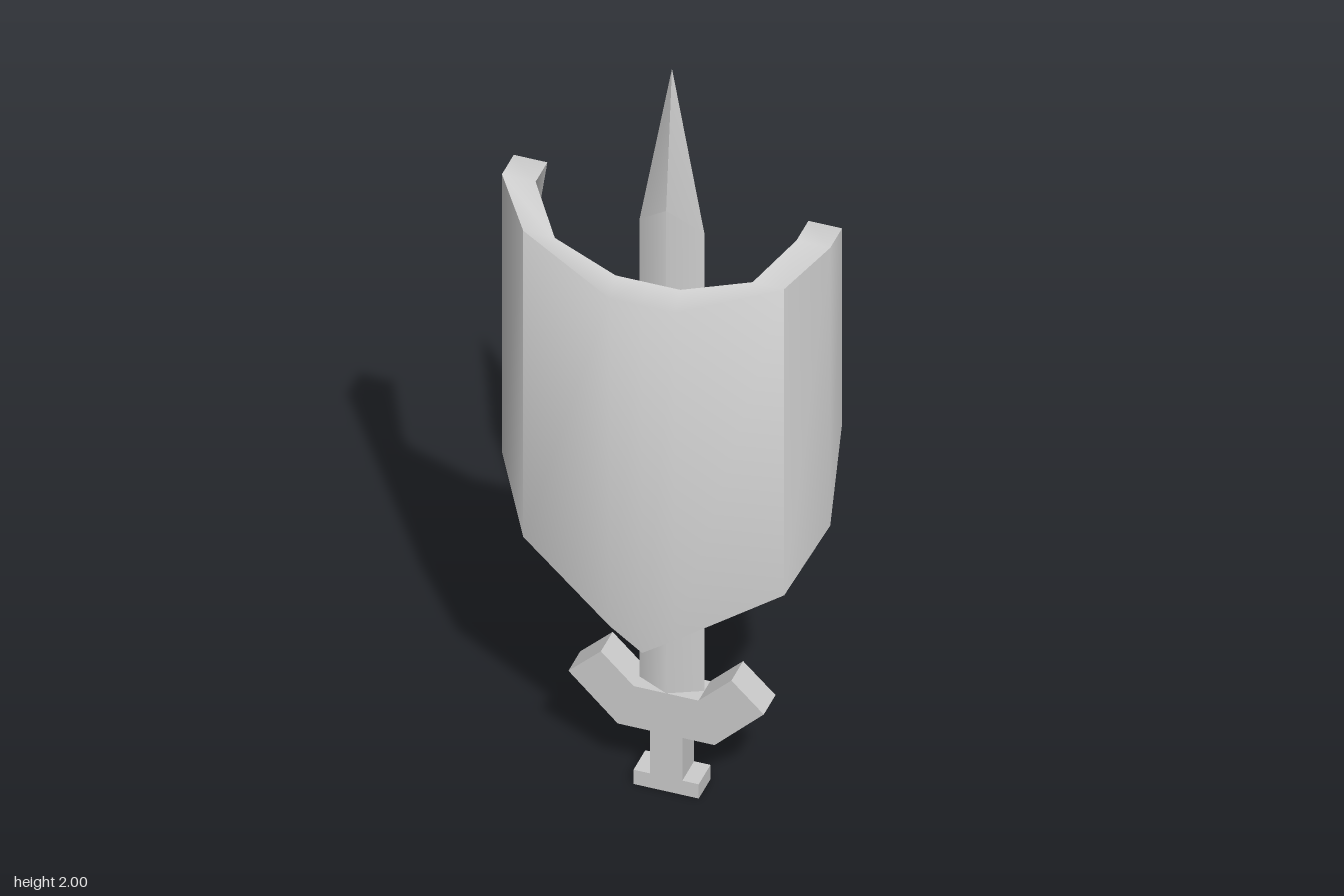
import * as THREE from 'three';
import { toCreasedNormals } from 'three/addons/utils/BufferGeometryUtils.js';

const CREASE = 1.0;
const BACK = -0.116, FRONT = -0.04, MID = -0.078; // depth range of the sword

const material = new THREE.MeshStandardMaterial({ color: 0xcccccc, side: THREE.DoubleSide });

function addMesh(parent, name, geometry) {
  const mesh = new THREE.Mesh(geometry, material);
  mesh.name = name;
  parent.add(mesh);
}

// Joins equal-length closed loops of points into a skin, optionally capped at each end.
function loft(loops, capStart, capEnd) {
  const n = loops[0].length, index = [];
  for (let i = 0; i < loops.length - 1; i++) {
    for (let j = 0; j < n; j++) {
      const k = (j + 1) % n;
      const a = i * n + j, b = (i + 1) * n + j, c = (i + 1) * n + k, d = i * n + k;
      index.push(a, b, c, a, c, d);
    }
  }
  const last = (loops.length - 1) * n;
  for (let j = 1; j < n - 1; j++) {
    if (capStart) index.push(0, j, j + 1);
    if (capEnd) index.push(last, last + j + 1, last + j);
  }
  const g = new THREE.BufferGeometry();
  g.setAttribute('position', new THREE.Float32BufferAttribute(loops.flat(2), 3));
  g.setIndex(index);
  return toCreasedNormals(g, CREASE);
}

// Curved plate: each column is a loop of outer bottom, outer top, inner top, inner shoulder.
function shieldGeometry() {
  const top = z => 1.63 - Math.max(0, z + 0.04);
  // outer x, outer z, bottom y, inner x, inner z, shoulder x, shoulder y
  const half = [
    [0.39, BACK, 1.08, 0.31, BACK, 0.35, 1.35],
    [0.39, -0.04, 0.85, 0.31, -0.04, 0.35, 1.24],
    [0.31, 0.04, 0.69, 0.235, 0.04, 0.235, 1.32],
    [0.077, 0.115, 0.555, 0.077, 0.077, 0.077, 1.01],
    [0, 0.115, 0.5, 0, 0.077, 0, 1.01],
  ];
  const column = (s, [ox, oz, bottom, ix, iz, mx, my]) => [
    [s * ox, bottom, oz], [s * ox, top(oz), oz], [s * ix, top(iz), iz], [s * mx, my, iz],
  ];
  const columns = [
    ...half.map(c => column(-1, c)),
    ...half.slice(0, -1).reverse().map(c => column(1, c)),
  ];
  return loft(columns, true, true);
}

// Diamond-section blade; the flat ridges run a little higher than the cutting edges.
function bladeGeometry() {
  const ring = (w, d, edgeY, ridgeY) => [
    [w, edgeY, MID], [0, ridgeY, MID + d], [-w, edgeY, MID], [0, ridgeY, MID - d],
  ];
  const rings = [
    ring(0.077, 0.038, 0.27, 0.27),
    ring(0.077, 0.038, 1.56, 1.63),
    ring(0.0005, 0.0005, 2, 2),
  ];
  // loops run clockwise seen from above, so reverse them to face outward
  return loft(rings.map(r => r.reverse()), false, false);
}

// Cross guard with upturned arms
function guardGeometry() {
  const right = [[0.115, 0.16], [0.232, 0.277], [0.155, 0.352], [0.077, 0.275]];
  const left = right.map(([x, y]) => [-x, y]).reverse();
  const shape = new THREE.Shape([...right, ...left].map(p => new THREE.Vector2(...p)));
  const g = new THREE.ExtrudeGeometry(shape, { depth: FRONT - BACK, bevelEnabled: false });
  return g.translate(0, 0, BACK);
}

// Box whose rear face is left open
function openBackBox(width, y0, y1) {
  const g = new THREE.BoxGeometry(width, y1 - y0, FRONT - BACK);
  g.setIndex(Array.from(g.index.array).slice(0, 30));
  g.clearGroups();
  return g.translate(0, (y0 + y1) / 2, MID);
}

export function createModel() {
  const model = new THREE.Group();
  model.name = 'swordAndShield';

  addMesh(model, 'shield', shieldGeometry());

  const sword = new THREE.Group();
  sword.name = 'sword';
  addMesh(sword, 'blade', bladeGeometry());
  addMesh(sword, 'crossGuard', guardGeometry());
  addMesh(sword, 'grip', openBackBox(0.077, 0.04, 0.16));
  addMesh(sword, 'pommel', openBackBox(0.155, 0, 0.04));
  model.add(sword);

  return model;
}
